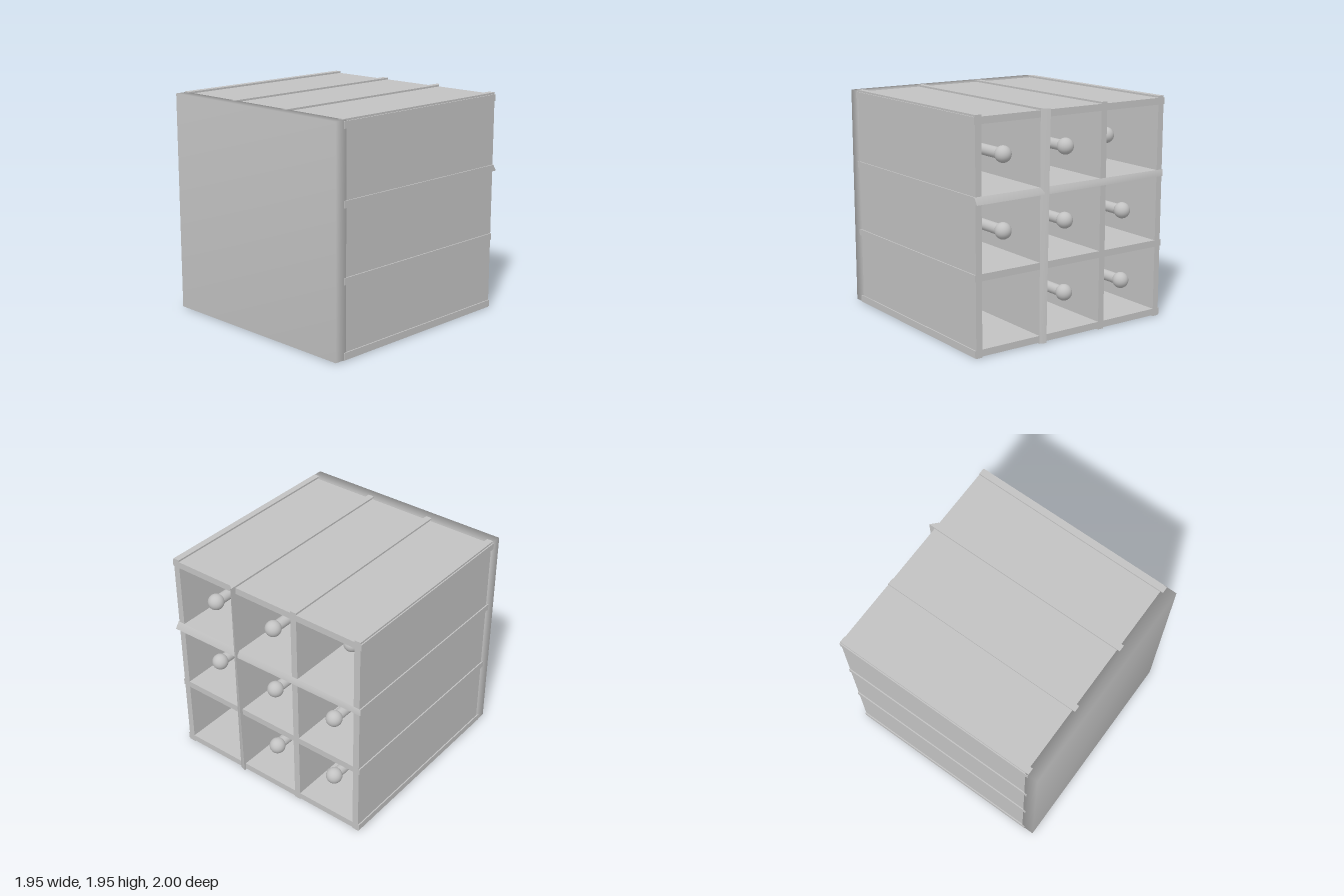
import * as THREE from 'three';
import { mergeVertices } from 'three/addons/utils/BufferGeometryUtils.js';

const grey = new THREE.MeshStandardMaterial({ color: 0xc2c2c2 });
grey.name = 'light grey';

const MID = 0.98;               // height of the rack's centre
const PITCH = 0.625;            // spacing of the cells
const T = 0.058;                // board thickness
const FRONT = 0.91, BACK = -0.945;

function add(parent, name, geometry, x = 0, y = 0, z = 0) {
  const mesh = new THREE.Mesh(geometry, grey);
  mesh.name = name;
  mesh.position.set(x, y, z);
  parent.add(mesh);
  return mesh;
}

// A full-depth board; the back edge can be pulled out into a sloping fin
// along its lower-coordinate corner, from tip a to tip b.
function board(w, h, fin) {
  const g = new THREE.BoxGeometry(w, h, FRONT - BACK);
  g.translate(0, 0, (FRONT + BACK) / 2);
  if (!fin) return g;
  const p = g.attributes.position;
  const upright = h > w;
  for (let i = 0; i < p.count; i++) {
    const across = upright ? p.getX(i) : p.getY(i);
    const along = upright ? p.getY(i) / h : p.getX(i) / w;
    if (p.getZ(i) < 0 && across < 0) {
      p.setZ(i, THREE.MathUtils.lerp(fin[0], fin[1], along + 0.5));
    }
  }
  g.computeVertexNormals();
  return g;
}

export function createModel() {
  const model = new THREE.Group();
  model.name = 'cubbyRack';

  // Softly shaded panel closing the front
  let panel = new THREE.BoxGeometry(1.944, 1.934, 0.115);
  panel.deleteAttribute('normal');
  panel.deleteAttribute('uv');
  panel = mergeVertices(panel);
  panel.computeVertexNormals();
  add(model, 'frontPanel', panel, 0, MID, 0.9425);

  // Interlocking upright and level boards; inner ends stand proud as ribs
  const boards = new THREE.Group();
  boards.name = 'boards';
  model.add(boards);
  for (let i = 0; i < 4; i++) {
    const k = i - 1.5;
    add(boards, 'uprightBoard', board(T, 1.95, i === 2 ? [-0.965, -1.0] : null),
      k * PITCH, MID, 0);
    add(boards, 'levelBoard', board(1.954, T, i === 2 ? [-0.95, -0.983] : null),
      0, MID - 0.003 + k * (PITCH - 0.003), 0);
  }

  // Stored rods with ball ends; one cell is empty, one rod sits deeper
  const ball = new THREE.SphereGeometry(0.07, 24, 16);
  for (let row = 0; row < 3; row++) {
    for (let col = 0; col < 3; col++) {
      if (row === 0 && col === 2) continue;
      const tip = row === 2 && col === 0 ? -0.6 : -0.83;
      const rod = new THREE.Group();
      rod.name = 'ballRod';
      rod.position.set((col - 1) * PITCH, MID + (row - 1) * (PITCH - 0.003), 0);
      model.add(rod);
      const length = 0.89 - tip;
      const shaft = new THREE.CylinderGeometry(0.046, 0.046, length, 24);
      shaft.rotateX(Math.PI / 2);
      add(rod, 'shaft', shaft, 0, 0, tip + length / 2);
      add(rod, 'ballEnd', ball, 0, 0, tip);
    }
  }
  return model;
}
